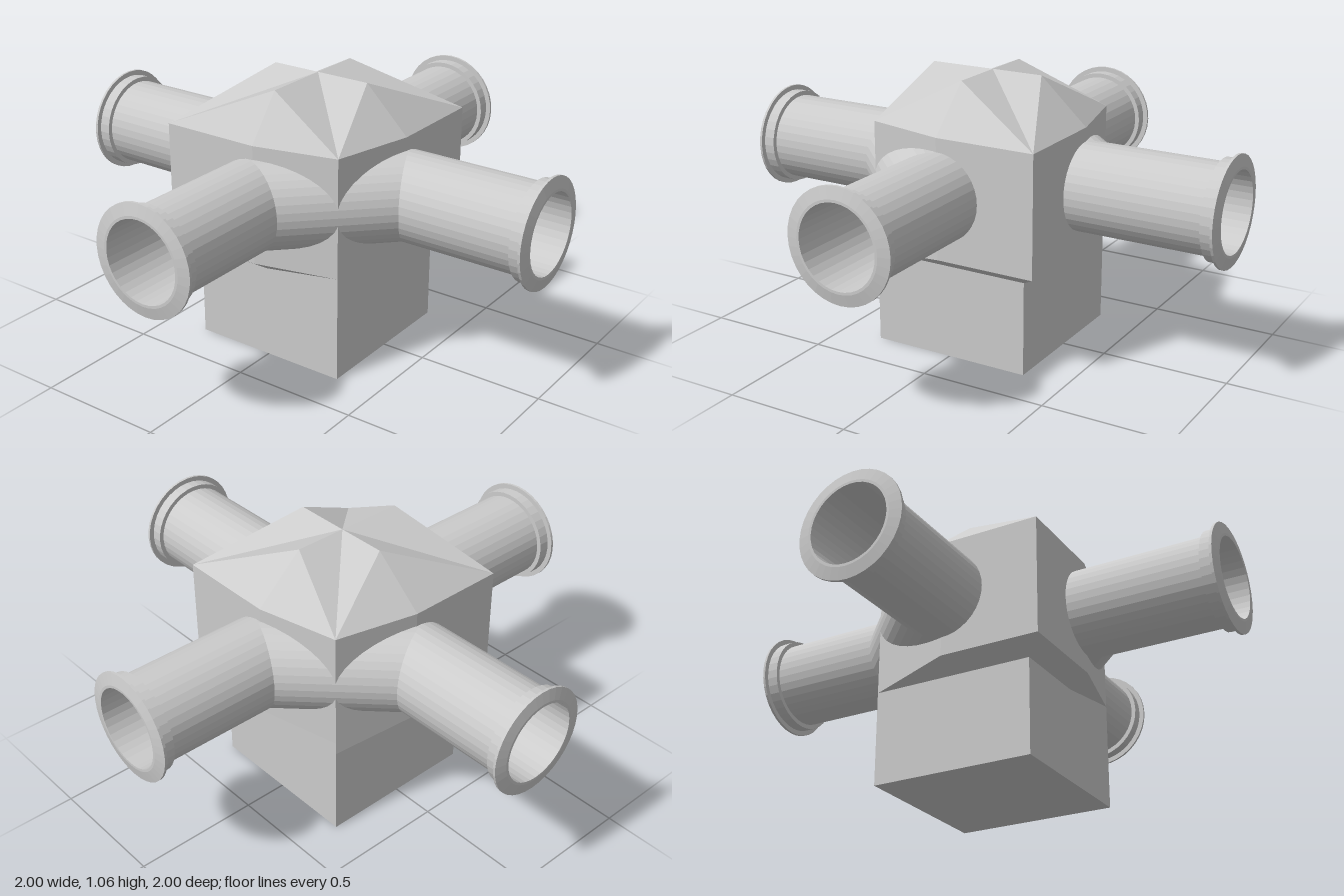
import * as THREE from 'three';
import { mergeGeometries } from 'three/addons/utils/BufferGeometryUtils.js';

const AXIS_Y = 0.665, BORE = 0.155, PIPE = 0.172;

function grey(extra = {}) {
  return new THREE.MeshStandardMaterial({ color: 0xcccccc, flatShading: true, ...extra });
}

function named(geometry, name, extra) {
  const mesh = new THREE.Mesh(geometry, grey(extra));
  mesh.name = name;
  return mesh;
}

function fromTriangles(points) {
  const g = new THREE.BufferGeometry();
  g.setAttribute('position', new THREE.Float32BufferAttribute(points.flat(), 3));
  g.computeVertexNormals();
  return g;
}

// Plan outlines as [x, z]: corner, side middle, corner, ...; two opposite corners are drawn in
const BODY = [[0.4, 0.4], [0.4, 0], [0.324, -0.324], [0, -0.4], [-0.4, -0.4], [-0.4, 0], [-0.324, 0.324], [0, 0.4]];
const s = 0.324;
const FOOT = [[s, s], [s, 0], [s, -s], [0, -s], [-s, -s], [-s, 0], [-s, s], [0, s]];
const at = ([x, z], y) => [x, y, z];

// Sloping band between the foot and the body
function bandGeometry(lower, y0, upper, y1) {
  const t = [];
  for (let i = 0; i < 8; i++) {
    const j = (i + 1) % 8;
    const a = at(lower[i], y0), b = at(lower[j], y0), c = at(upper[j], y1), d = at(upper[i], y1);
    t.push(a, b, c, a, c, d);
  }
  return fromTriangles(t);
}

// Eight half walls, each with a half-round opening at the middle of its side
function wallGeometry() {
  const low = 0.42, high = 0.89, r = BORE + 0.008;
  const parts = [];
  for (let i = 1; i < 8; i += 2) {
    for (const c of [i - 1, (i + 1) % 8]) {
      const mid = BODY[i], corner = BODY[c];
      const w = Math.max(Math.abs(corner[0] - mid[0]), Math.abs(corner[1] - mid[1]));
      const q = Math.min(w, Math.abs(i % 4 === 1 ? corner[1] : corner[0]));
      const shape = new THREE.Shape();
      shape.moveTo(0, low);
      shape.lineTo(q, low);
      shape.lineTo(q, high);
      shape.lineTo(0, high);
      shape.lineTo(0, AXIS_Y + r);
      shape.absarc(0, AXIS_Y, r, Math.PI / 2, -Math.PI / 2, true);
      const g = new THREE.ShapeGeometry(shape, 16);
      const p = g.attributes.position;
      for (let k = 0; k < p.count; k++) {
        const u = p.getX(k) / q;
        p.setXYZ(k, mid[0] + u * (corner[0] - mid[0]), p.getY(k), mid[1] + u * (corner[1] - mid[1]));
      }
      // turn the face outward
      if (c === i - 1) {
        const id = g.index.array;
        for (let k = 0; k < id.length; k += 3) [id[k], id[k + 1]] = [id[k + 1], id[k]];
      }
      g.computeVertexNormals();
      parts.push(g);
    }
  }
  return mergeGeometries(parts);
}

// Cross-ridged roof with valleys running to the corners
function roofGeometry() {
  const peak = 1.063, eave = 0.89, t = [];
  const ridge = { 1: [0.21, 0], 3: [0, -0.2], 5: [-0.265, 0], 7: [0, 0.223] };
  const centre = [0, peak, 0];
  for (let i = 1; i < 8; i += 2) {
    const a = at(BODY[i - 1], eave), m = at(BODY[i], eave), b = at(BODY[(i + 1) % 8], eave);
    const top = at(ridge[i], peak);
    t.push(a, m, top, m, b, top, centre, a, top, centre, top, b);
  }
  return fromTriangles(t);
}

// Hollow mitred elbow: front arm lofted from rings, then mirrored across the diagonal
function elbowGeometry() {
  const N = 36, joint = 0.41, slope = Math.tan(Math.PI / 8);
  // [radius, station along arm, mitre]
  const profile = [
    [PIPE, joint, 1], [PIPE, 0.935, 0], [0.19, 0.935, 0], [0.19, 0.98, 0], [0.21, 0.98, 0],
    [0.21, 0.99, 0], [0.165, 1, 0], [BORE, 1, 0], [BORE, joint, 1],
  ];
  const half = profile.map(([r, z, mitre]) => {
    const ring = [];
    for (let j = 0; j < N; j++) {
      const a = (j / N) * Math.PI * 2, x = r * Math.cos(a);
      ring.push([x, AXIS_Y + r * Math.sin(a), z - mitre * x * slope]);
    }
    return ring;
  });
  const mirrored = half.map(ring => ring.map(([x, y, z]) => [-z, y, -x])).reverse();
  const rings = [...half, ...mirrored];
  const t = [];
  rings.forEach((ring, i) => {
    const next = rings[(i + 1) % rings.length];
    for (let j = 0; j < N; j++) {
      const k = (j + 1) % N;
      t.push(ring[j], ring[k], next[k], ring[j], next[k], next[j]);
    }
  });
  return fromTriangles(t);
}

export function createModel() {
  const model = new THREE.Group();
  model.name = 'pipeJunction';

  // Square foot
  const foot = named(new THREE.BoxGeometry(2 * s, 0.37, 2 * s), 'foot');
  foot.position.y = 0.185;
  model.add(foot);

  // Central housing
  const housing = new THREE.Group();
  housing.name = 'housing';
  housing.add(
    named(bandGeometry(FOOT, 0.37, BODY, 0.42), 'lowerBevel'),
    named(wallGeometry(), 'walls', { side: THREE.DoubleSide }),
    named(roofGeometry(), 'roof'),
  );
  model.add(housing);

  // Two flanged elbows, opposite each other
  const elbow = elbowGeometry();
  ['frontRightElbow', 'backLeftElbow'].forEach((name, i) => {
    const mesh = named(elbow, name);
    mesh.rotation.y = i * Math.PI;
    model.add(mesh);
  });

  return model;
}
